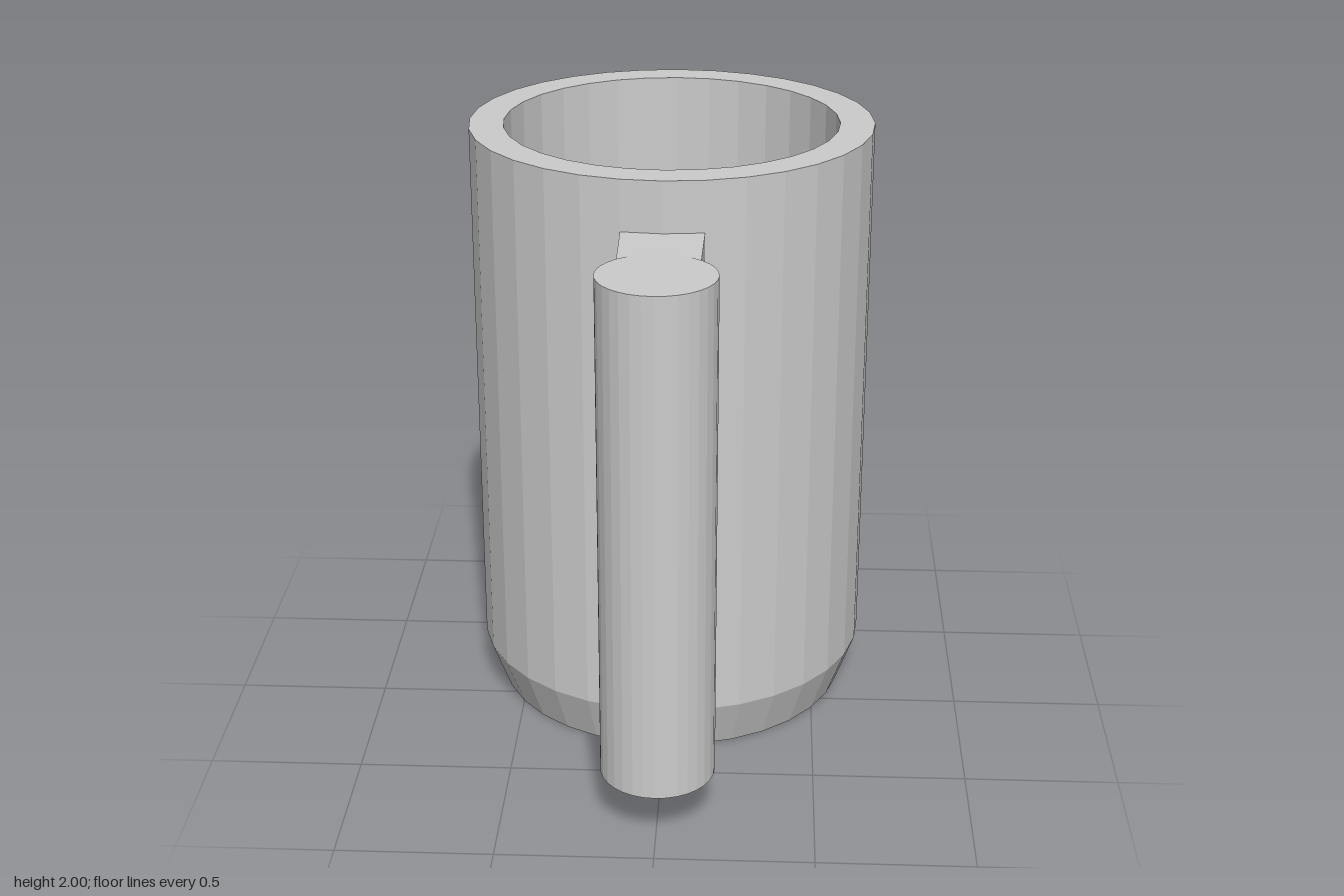
import * as THREE from 'three';

const material = new THREE.MeshStandardMaterial({ color: 0xcccccc, flatShading: true });
const SIDES = 32;
const MUG_Z = -0.27;
const GRIP_Z = 0.75;

function addPart(group, name, geometry, x, y, z) {
  const mesh = new THREE.Mesh(geometry, material);
  mesh.name = name;
  mesh.position.set(x, y, z);
  group.add(mesh);
  return mesh;
}

export function createModel() {
  const group = new THREE.Group();
  group.name = 'mug';

  // Hollow body: base, chamfer, outer wall, rim, inner wall, floor
  const profile = [
    [0, 0], [0.6, 0], [0.663, 0.17], [0.663, 2], [0.55, 2], [0.55, 0.17], [0, 0.17],
  ].map(([r, y]) => new THREE.Vector2(r, y));
  addPart(group, 'body', new THREE.LatheGeometry(profile, SIDES), 0, 0, MUG_Z);

  // Upright round grip in front of the body
  const gripHeight = 1.655;
  addPart(group, 'handleGrip', new THREE.CylinderGeometry(0.182, 0.182, gripHeight, SIDES),
    0, 0.175 + gripHeight / 2, GRIP_Z);

  // Flat arms joining the grip to the wall, their outer faces dipping into the grip
  for (const [name, y, side] of [['upperArm', 1.793, 1], ['lowerArm', 0.212, -1]]) {
    const arm = new THREE.BoxGeometry(0.26, 0.084, 0.32);
    const pos = arm.attributes.position;
    for (let i = 0; i < pos.count; i++) {
      if (pos.getZ(i) < 0) continue;
      pos.setX(i, pos.getX(i) * 0.96);
      if (pos.getY(i) * side > 0) pos.setY(i, pos.getY(i) - side * 0.008);
    }
    arm.computeVertexNormals();
    addPart(group, name, arm, 0, y, 0.5);
  }

  return group;
}
